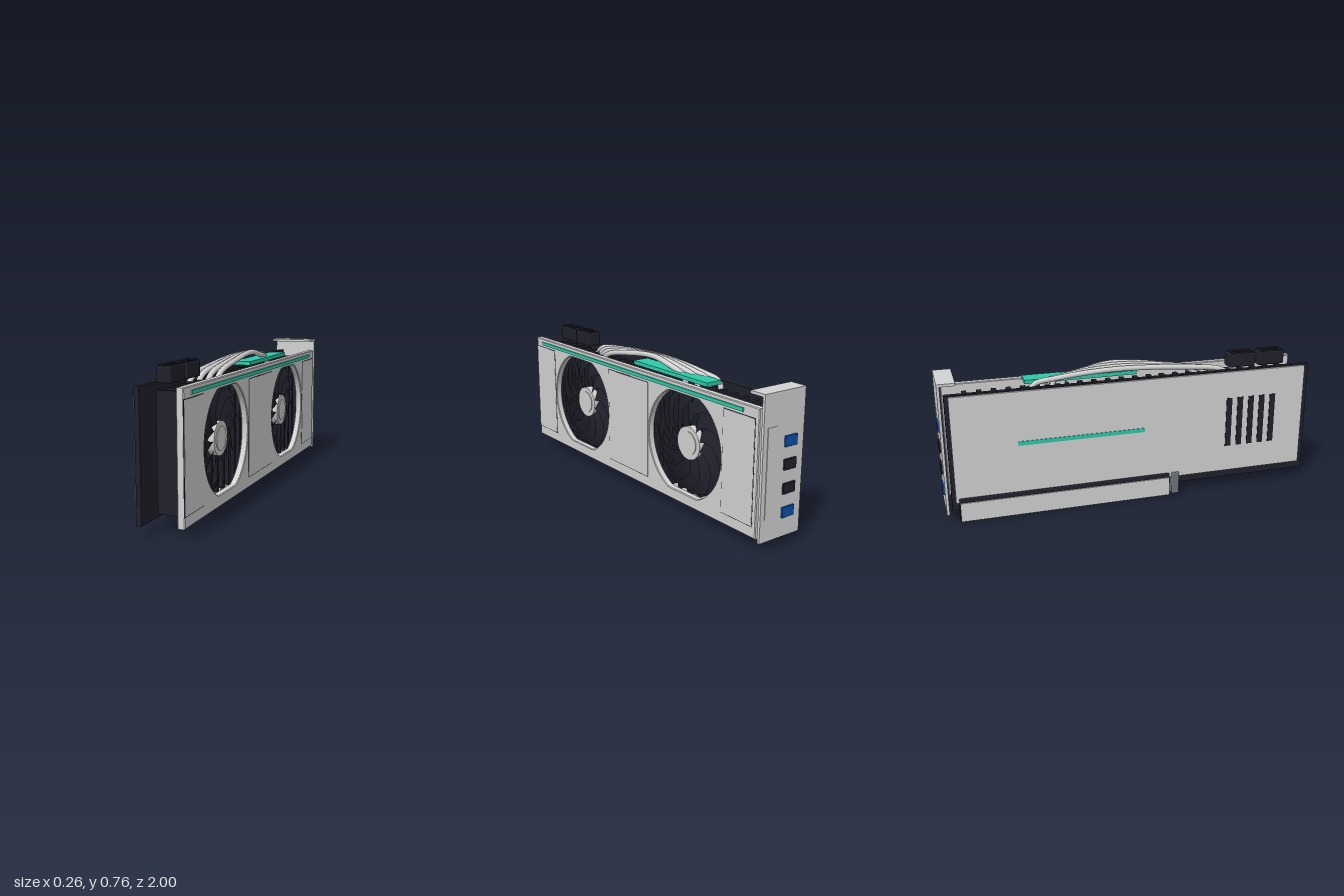
import * as THREE from 'three';
import { RoundedBoxGeometry } from 'three/addons/geometries/RoundedBoxGeometry.js';

const mat = (name, color, side = THREE.FrontSide) => {
  const m = new THREE.MeshStandardMaterial({ color, side });
  m.name = name;
  return m;
};

export function createModel() {
  const light = mat('light grey', 0xd2d2d2);
  const dark = mat('dark navy', 0x20202b, THREE.DoubleSide);
  const teal = mat('teal', 0x2dcaa8);
  const blue = mat('port blue', 0x0d4fae);
  const grey = mat('latch grey', 0x6e767a);

  const card = new THREE.Group();
  card.name = 'graphicsCard';

  const add = (parent, name, geometry, material) => {
    const mesh = new THREE.Mesh(geometry, material);
    mesh.name = name;
    parent.add(mesh);
    return mesh;
  };
  // Box given by its limits on each axis, optionally rounded
  const box = (name, m, [x0, x1], [y0, y1], [z0, z1], r = 0) => {
    const s = [x1 - x0, y1 - y0, z1 - z0];
    const g = r ? new RoundedBoxGeometry(...s, 2, r) : new THREE.BoxGeometry(...s);
    const mesh = add(card, name, g, m);
    mesh.position.set((x0 + x1) / 2, (y0 + y1) / 2, (z0 + z1) / 2);
    return mesh;
  };

  // Circuit board and backplate
  box('circuitBoard', dark, [-0.097, -0.073], [0.06, 0.675], [-0.96, 1]);
  box('backplate', light, [-0.115, -0.103], [0.105, 0.67], [-0.94, 0.97]);
  box('backplateSpacer', dark, [-0.104, -0.096], [0.12, 0.655], [-0.92, 0.95]);
  box('backplateStripe', teal, [-0.118, -0.114], [0.384, 0.406], [-0.61, 0.06]);
  for (let i = 0; i < 5; i++) {
    const z = 0.535 + i * 0.063;
    box('backplateVent', dark, [-0.118, -0.114], [0.25, 0.525], [z - 0.016, z + 0.016]);
  }

  // Edge connector with side covers, and its latch
  box('edgeConnector', dark, [-0.125, -0.042], [0, 0.13], [-0.925, 0.2], 0.006);
  box('connectorCoverOuter', light, [-0.131, -0.124], [0.006, 0.108], [-0.92, 0.197]);
  box('connectorCoverInner', light, [-0.043, -0.036], [0.006, 0.108], [-0.92, 0.197]);
  box('connectorLatch', grey, [-0.125, -0.042], [0.006, 0.13], [0.212, 0.255], 0.006);

  // Heatsink fins and cold plate
  for (let i = 0; i < 24; i++) {
    const z = -0.85 + i * 0.075;
    box('heatsinkFin', dark, [-0.05, 0.048], [0.088, 0.647], [z - 0.0125, z + 0.0125]);
  }
  box('coldPlate', light, [-0.073, -0.05], [0.28, 0.605], [-0.52, -0.17], 0.005);

  // Arched heat pipes
  for (let i = 0; i < 4; i++) {
    const x = -0.042 + i * 0.024;
    const front = 0.55 - i * 0.055;
    const back = -0.53 + i * 0.06;
    const top = 0.708 + i * 0.005;
    const path = new THREE.CatmullRomCurve3([
      new THREE.Vector3(x - 0.004, 0.62, front + 0.02),
      new THREE.Vector3(x - 0.002, 0.668, front - 0.04),
      new THREE.Vector3(x, top - 0.01, front - 0.25),
      new THREE.Vector3(x, top + 0.011, -0.08),
      new THREE.Vector3(x, top - 0.008, back + 0.15),
      new THREE.Vector3(x, 0.675, back + 0.02),
      new THREE.Vector3(x, 0.62, back),
    ]);
    add(card, 'heatPipe', new THREE.TubeGeometry(path, 48, 0.014, 12), light);
  }

  // Lit bar on top and power sockets with ridged tops
  box('topBar', teal, [-0.02, 0.07], [0.675, 0.695], [-0.55, 0.04]);
  for (const z of [0.55, 0.72]) {
    box('powerSocket', dark, [-0.058, 0.014], [0.674, 0.75], [z, z + 0.15], 0.008);
    for (let i = 0; i < 3; i++)
      for (const x of [-0.053, -0.016])
        box('powerSocketPin', dark, [x, x + 0.025], [0.745, 0.756], [z + 0.014 + i * 0.044, z + 0.048 + i * 0.044]);
  }

  // Shroud with two flat-topped round openings
  const fanZ = [0.485, -0.44];
  const shape = new THREE.Shape();
  shape.moveTo(-0.975, 0.06);
  shape.lineTo(0.96, 0.06);
  shape.lineTo(0.96, 0.675);
  shape.lineTo(-0.975, 0.675);
  shape.closePath();
  for (const z of fanZ) {
    const pts = [];
    for (let i = 0; i < 72; i++) {
      const a = -i / 72 * Math.PI * 2;
      const y = THREE.MathUtils.clamp(0.277 * Math.sin(a), -0.253, 0.253);
      pts.push(new THREE.Vector2(-z + 0.277 * Math.cos(a), 0.37 + y));
    }
    shape.holes.push(new THREE.Path(pts));
  }
  const shroudGeo = new THREE.ExtrudeGeometry(shape, {
    depth: 0.028, bevelThickness: 0.004, bevelSize: 0.004, bevelOffset: -0.004, bevelSegments: 1,
  });
  shroudGeo.rotateY(Math.PI / 2);
  add(card, 'shroud', shroudGeo, light).position.x = 0.091;
  for (const z of [[0.77, 0.972], [-0.155, 0.195], [-0.957, -0.73]]) {
    const end = z[1] < 0 ? [-0.935, -0.73] : z;
    box('shroudPanelGap', dark, [0.12, 0.1235], [0.113, 0.627], [end[0] - 0.003, end[1] + 0.003]);
    box('shroudPanel', light, [0.12, 0.125], [0.117, 0.623], end);
  }
  box('shroudStripe', teal, [0.122, 0.13], [0.638, 0.656], [-0.86, 0.9]);

  // Swept, pitched fan blade
  const bladeGeo = new THREE.PlaneGeometry(1, 1, 8, 6);
  const p = bladeGeo.attributes.position;
  for (let i = 0; i < p.count; i++) {
    const t = p.getX(i) + 0.5;
    const v = p.getY(i);
    const r = 0.078 + t * 0.186;
    const a = -0.75 * t * t + v * (0.52 + 0.12 * t);
    p.setXYZ(i, r * Math.cos(a), r * Math.sin(a), 0.068 - v * 0.032);
  }
  bladeGeo.computeVertexNormals();

  // Fans
  const disc = (r, z0, z1) =>
    new THREE.CylinderGeometry(r, r, z1 - z0, 40).rotateX(Math.PI / 2).translate(0, 0, (z0 + z1) / 2);
  for (const z of fanZ) {
    const fan = new THREE.Group();
    fan.name = 'fan';
    fan.position.set(0, 0.37, z);
    fan.rotation.y = Math.PI / 2;
    add(fan, 'fanHub', disc(0.085, 0.049, 0.088), light);
    add(fan, 'fanHubCap', disc(0.06, 0.087, 0.092), light);
    for (let i = 0; i < 11; i++) add(fan, 'fanBlade', bladeGeo, dark).rotation.z = i / 11 * Math.PI * 2;
    card.add(fan);
  }

  // Mounting bracket with folded lip, raised panel and ports
  box('bracketPlate', light, [-0.125, 0.125], [0.05, 0.745], [-0.991, -0.977]);
  box('bracketLip', light, [-0.125, 0.125], [0.731, 0.745], [-0.991, -0.9]);
  box('bracketPanel', light, [0.04, 0.1], [0.16, 0.59], [-0.994, -0.99]);
  [0.51, 0.4, 0.285, 0.17].forEach((y, i) => {
    box('port', i % 3 ? dark : blue, [-0.08, -0.005], [y - 0.026, y + 0.026], [-1, -0.985], 0.003);
  });

  return card;
}
